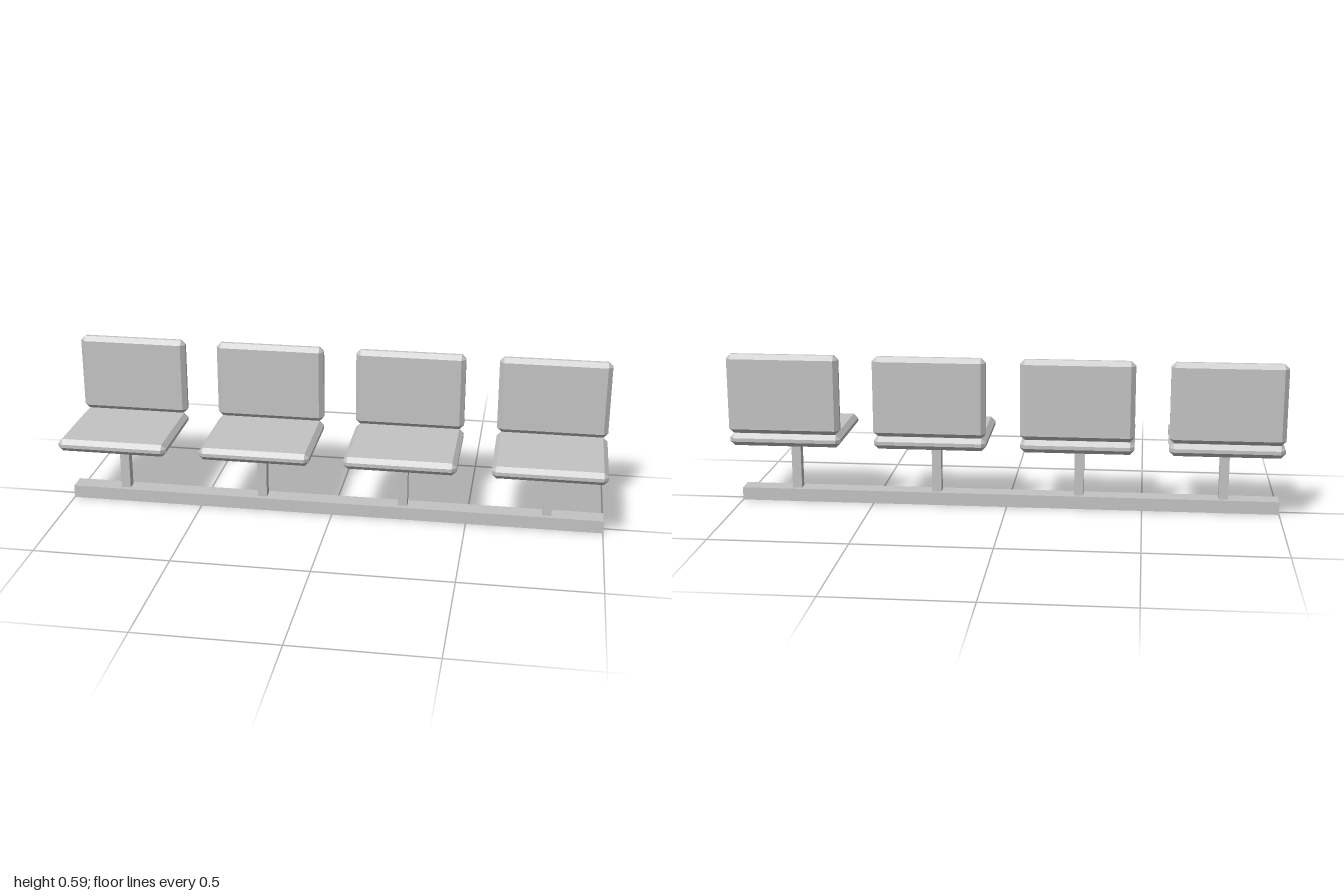
import * as THREE from 'three';
import { ConvexGeometry } from 'three/addons/geometries/ConvexGeometry.js';

const grey = new THREE.MeshStandardMaterial({ color: 0xc4c4c4 });
grey.name = 'grey';

// Box with every edge chamfered by c and each corner cut to a triangle
function chamferedBox(w, h, d, c) {
  const half = [w / 2, h / 2, d / 2];
  const points = [];
  for (const sx of [-1, 1]) for (const sy of [-1, 1]) for (const sz of [-1, 1]) {
    for (let axis = 0; axis < 3; axis++) {
      const p = half.map((v, i) => (i === axis ? v : v - c));
      points.push(new THREE.Vector3(sx * p[0], sy * p[1], sz * p[2]));
    }
  }
  return new ConvexGeometry(points);
}

function addPart(parent, name, geometry, x, y, z) {
  const mesh = new THREE.Mesh(geometry, grey);
  mesh.name = name;
  mesh.position.set(x, y, z);
  parent.add(mesh);
}

export function createModel() {
  const bench = new THREE.Group();
  bench.name = 'seatRow';

  // Long floor beam carrying all seats
  addPart(bench, 'floorBeam', new THREE.BoxGeometry(2, 0.048, 0.07), 0, 0.024, 0.004);

  const seatGeometry = chamferedBox(0.408, 0.046, 0.363, 0.0165);
  const backGeometry = chamferedBox(0.408, 0.292, 0.046, 0.0165);
  const postGeometry = new THREE.BoxGeometry(0.035, 0.203, 0.036);

  // Four identical chairs, evenly spaced
  for (let i = 0; i < 4; i++) {
    const chair = new THREE.Group();
    chair.name = `chair${i + 1}`;
    chair.position.x = -0.796 + i * (1.592 / 3);
    addPart(chair, 'post', postGeometry, -0.002, 0.1485, 0.004);
    addPart(chair, 'seat', seatGeometry, 0, 0.272, 0.0035);
    addPart(chair, 'backrest', backGeometry, 0, 0.443, -0.161);
    bench.add(chair);
  }
  return bench;
}
